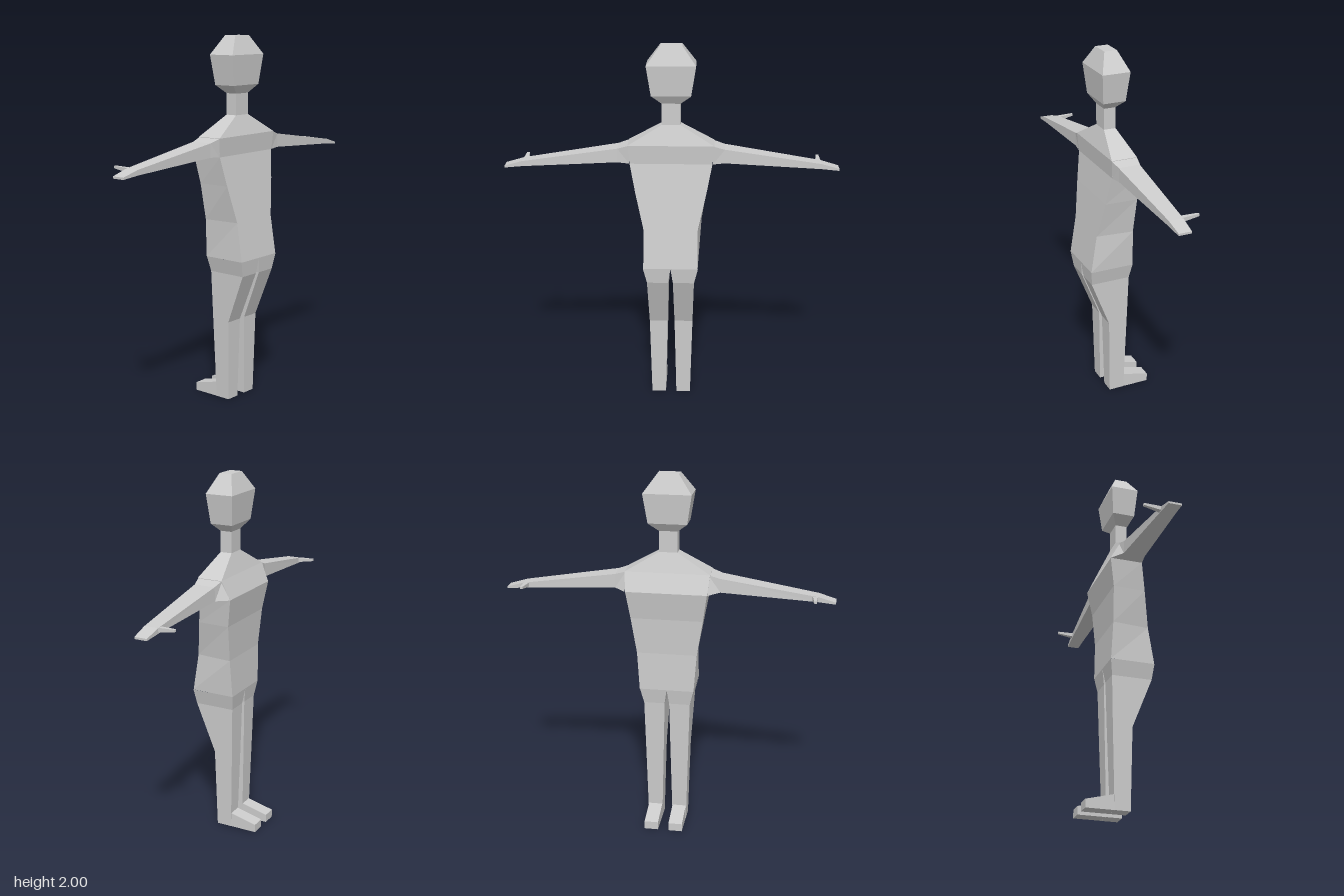
import * as THREE from 'three';

const skin = new THREE.MeshStandardMaterial({ color: 0xcccccc, flatShading: true });
skin.name = 'light grey';

// Joins four-cornered rings into a faceted skin, optionally closing the ends
function loft(name, rings, capStart = false, capEnd = false) {
  const pos = [];
  const quad = (pts, inside) => {
    const [a, b, c, d] = pts;
    const n = c.clone().sub(a).cross(d.clone().sub(b));
    const mid = a.clone().add(b).add(c).add(d).multiplyScalar(0.25);
    const order = n.dot(mid.sub(inside)) > 0 ? [a, b, c, a, c, d] : [a, c, b, a, d, c];
    for (const p of order) pos.push(p.x, p.y, p.z);
  };
  const r = rings.map(ring => ring.map(p => new THREE.Vector3(...p)));
  const centre = ring => ring.reduce((s, p) => s.add(p), new THREE.Vector3()).multiplyScalar(0.25);
  for (let i = 0; i < r.length - 1; i++) {
    const inside = centre(r[i]).add(centre(r[i + 1])).multiplyScalar(0.5);
    for (let k = 0; k < 4; k++) {
      const m = (k + 1) % 4;
      quad([r[i][k], r[i][m], r[i + 1][m], r[i + 1][k]], inside);
    }
  }
  const last = r.length - 1;
  if (capStart) quad(r[0], centre(r[1]));
  if (capEnd) quad(r[last], centre(r[last - 1]));
  const geo = new THREE.BufferGeometry();
  geo.setAttribute('position', new THREE.Float32BufferAttribute(pos, 3));
  geo.computeVertexNormals();
  const mesh = new THREE.Mesh(geo, skin);
  mesh.name = name;
  return mesh;
}

// Level ring: chest side at xf, back side at xb, half widths zf and zb
const level = ([y, xf, xb, zf, zb = zf]) =>
  [[xf, y, zf], [xb, y, zb], [xb, y, -zb], [xf, y, -zf]];

export function createModel() {
  const model = new THREE.Group();
  model.name = 'figure';

  // Trunk from hips to base of neck
  model.add(loft('torso', [
    [0.81, -0.065, 0.18, 0.15, 0.147],
    [1.02, -0.057, 0.147, 0.165, 0.145],
    [1.22, -0.065, 0.115, 0.197, 0.19],
    [1.375, -0.09, 0.09, 0.22],
    [1.475, -0.045, 0.097, 0.23],
    [1.58, -0.006, 0.06, 0.05],
  ].map(level)));

  // Neck and head
  model.add(loft('neck', [[1.58, -0.006, 0.06, 0.05], [1.695, -0.006, 0.06, 0.05]].map(level)));
  model.add(loft('head', [
    [1.695, -0.006, 0.06, 0.05],
    [1.74, -0.038, 0.088, 0.105],
    [1.9, -0.053, 0.102, 0.13],
    [2.0, -0.01, 0.06, 0.057],
  ].map(level), false, true));

  for (const s of [1, -1]) {
    const side = s > 0 ? 'Plus' : 'Minus';

    // Leg: height, front x, back x, inner z, outer z
    model.add(loft('leg' + side, [
      [0.81, -0.065, 0.18, 0, 0.149],
      [0.725, -0.052, 0.17, 0.013, 0.128],
      [0.45, -0.045, 0.063, 0.019, 0.12],
      [0, -0.032, 0.054, 0.03, 0.108],
    ].map(([y, xf, xb, zi, zo]) =>
      [[xf, y, s * zi], [xb, y, s * zi], [xb, y, s * zo], [xf, y, s * zo]]), false, true));

    // Foot wedge
    model.add(loft('foot' + side, [[-0.033, 0.083], [-0.185, 0.045]].map(([x, h]) =>
      [[x, 0, s * 0.03], [x, h, s * 0.03], [x, h, s * 0.107], [x, 0, s * 0.107]]), false, true));

    // Arm and hand: z, bottom y, top y, then front and back x at bottom and top
    model.add(loft('arm' + side, [
      [0.222, 1.375, 1.475, -0.09, 0.09, -0.045, 0.097],
      [0.285, 1.38, 1.455, -0.037, 0.083, -0.035, 0.083],
      [0.8, 1.347, 1.375, -0.015, 0.062, -0.015, 0.062],
      [0.895, 1.337, 1.348, -0.012, 0.058, -0.012, 0.058],
    ].map(([z, yb, yt, fb, bb, ft, bt]) =>
      [[fb, yb, s * z], [bb, yb, s * z], [bt, yt, s * z], [ft, yt, s * z]]), false, true));

    // Thumb
    model.add(loft('thumb' + side, [
      [0.0, 1.352, 1.375, 0.767, 0.8],
      [-0.03, 1.356, 1.377, 0.773, 0.798],
      [-0.105, 1.367, 1.379, 0.782, 0.796],
    ].map(([x, yb, yt, zi, zo]) =>
      [[x, yb, s * zi], [x, yt, s * zi], [x, yt, s * zo], [x, yb, s * zo]]), false, true));
  }
  return model;
}
